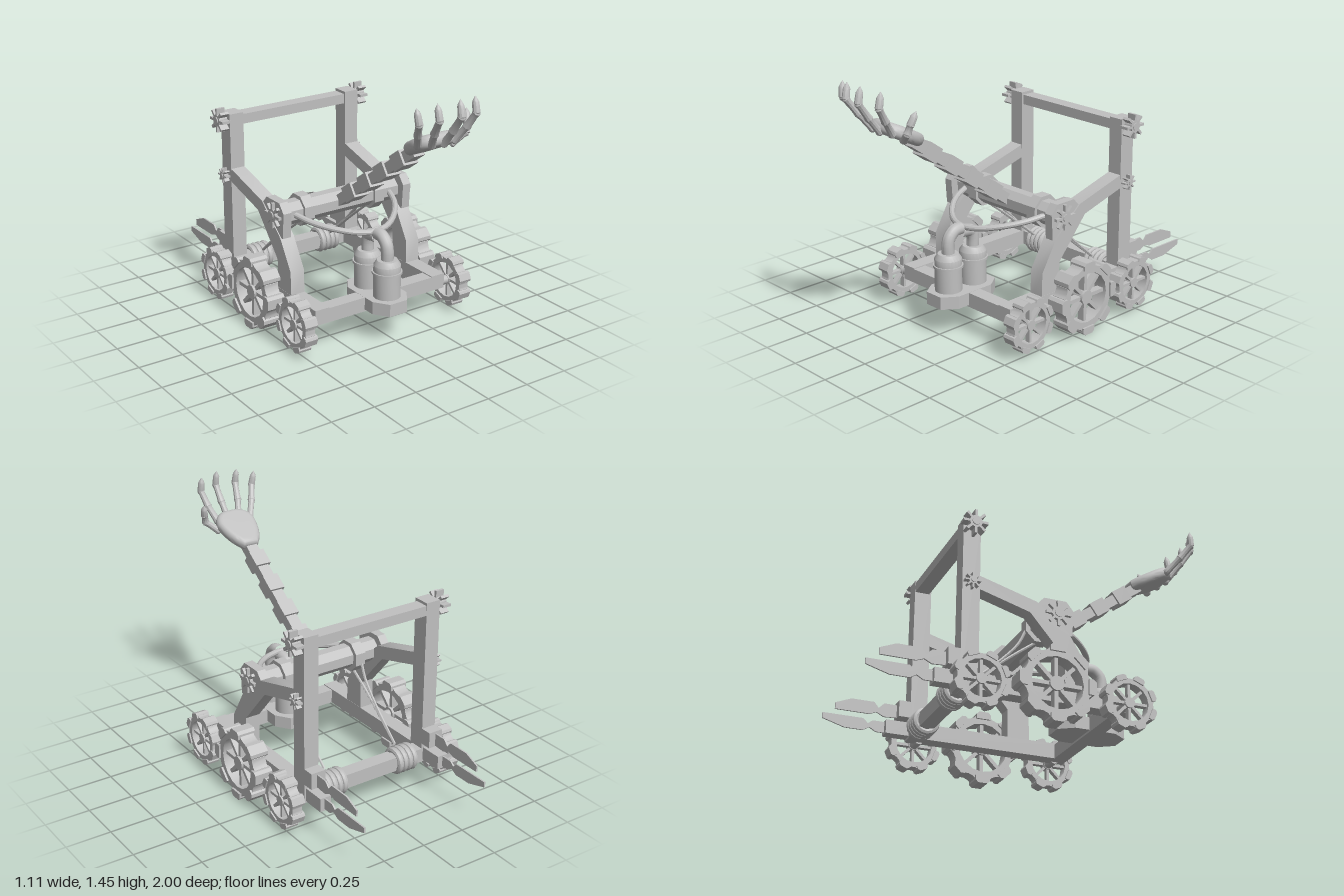
import * as THREE from 'three';
import { toCreasedNormals } from 'three/addons/utils/BufferGeometryUtils.js';

const V = (x, y, z) => new THREE.Vector3(x, y, z);

export function createModel() {
  const root = new THREE.Group();
  root.name = 'catapult';
  const grey = new THREE.MeshStandardMaterial({ color: 0xc0c0c0 });
  grey.name = 'plain grey';

  const add = (name, geo, x = 0, y = 0, z = 0, parent = root) => {
    const m = new THREE.Mesh(toCreasedNormals(geo, 0.6), grey);
    m.name = name;
    m.position.set(x, y, z);
    parent.add(m);
    return m;
  };
  // Box given by its extents on each axis
  const box = (name, x0, x1, y0, y1, z0, z1) =>
    add(name, new THREE.BoxGeometry(x1 - x0, y1 - y0, z1 - z0), (x0 + x1) / 2, (y0 + y1) / 2, (z0 + z1) / 2);
  // Side profile in (z, y), extruded along x and centred on x = 0
  const side = (shape, width) =>
    new THREE.ExtrudeGeometry(shape, { depth: width, bevelEnabled: false, curveSegments: 8 })
      .translate(0, 0, -width / 2).rotateY(-Math.PI / 2);
  const poly = pts => new THREE.Shape(pts.map(p => new THREE.Vector2(p[0], p[1])));
  const cylX = (r, w, n = 16) => new THREE.CylinderGeometry(r, r, w, n).rotateZ(Math.PI / 2);
  const tube = (name, pts, r, n = 10) =>
    add(name, new THREE.TubeGeometry(new THREE.CatmullRomCurve3(pts), 28, r, n));

  // Toothed outline; half-widths of tooth root and tip are fractions of the pitch
  const toothed = (n, rIn, rOut, root, tip, shift = 0) => {
    const pts = [], pitch = Math.PI * 2 / n;
    for (let i = 0; i < n; i++) {
      const a = i * pitch + shift;
      [[-0.5, rIn], [-root, rIn], [-tip, rOut], [tip, rOut], [root, rIn]].forEach(([f, r]) =>
        pts.push([r * Math.cos(a + f * pitch), r * Math.sin(a + f * pitch)]));
    }
    return poly(pts);
  };
  const gear = (name, r, w, x, y, z) => {
    add(name, side(toothed(8, r * 0.5, r, 0.24, 0.14), w), x, y, z);
    add(name + 'Hub', cylX(r * 0.32, w + 0.012, 12), x, y, z);
  };

  // Spoked wheel with a rim and wider tread blocks
  const wheel = (name, r, w, x, y, z, shift) => {
    const g = new THREE.Group();
    g.name = name;
    g.position.set(x, y, z);
    root.add(g);
    const rim = toothed(8, r * 0.86, r * 0.9, 0.4, 0.3, shift);
    rim.holes.push(new THREE.Path().absarc(0, 0, r * 0.68, 0, Math.PI * 2, true));
    add('rim', side(rim, w * 0.78), 0, 0, 0, g);
    for (let i = 0; i < 8; i++) {
      const a = i * Math.PI / 4 + shift;
      const block = side(poly([[r * 0.8, -r * 0.2], [r * 0.93, -r * 0.2], [r, -r * 0.13],
        [r, r * 0.13], [r * 0.93, r * 0.2], [r * 0.8, r * 0.2]]), w);
      add('treadBlock', block, 0, 0, 0, g).rotation.x = -a;
    }
    for (let i = 0; i < 4; i++)
      add('spokes', new THREE.BoxGeometry(w * 0.4, r * 0.1, r * 1.4), 0, 0, 0, g).rotation.x = i * Math.PI / 4;
    add('hub', cylX(r * 0.19, w * 0.65), 0, 0, 0, g);
  };

  // Profiles shared by both sides
  const brace = poly([[0.15, 0.2], [0.145, 0.37], [0.05, 0.53], [-0.13, 0.685], [-0.46, 0.775],
    [-0.46, 0.7], [-0.17, 0.62], [0.02, 0.4], [0.02, 0.2]]);
  const plate = poly([[0.065, 0.53], [0.075, 0.67], [0.035, 0.72], [-0.09, 0.72], [-0.145, 0.66],
    [-0.13, 0.6], [-0.04, 0.53]]);
  const upperBlade = poly([[-0.58, 0.34], [-0.67, 0.34], [-0.7, 0.31], [-0.725, 0.34], [-0.85, 0.34],
    [-0.935, 0.305], [-0.935, 0.27], [-0.75, 0.27], [-0.71, 0.285], [-0.67, 0.265], [-0.58, 0.27]]);
  const lowerBlade = poly([[-0.64, 0.235], [-0.73, 0.235], [-0.755, 0.215], [-0.78, 0.24], [-1, 0.24],
    [-1, 0.21], [-0.88, 0.175], [-0.78, 0.175], [-0.745, 0.195], [-0.71, 0.175], [-0.64, 0.175]]);

  for (const s of [-1, 1]) {
    const span = (a, b) => [Math.min(s * a, s * b), Math.max(s * a, s * b)];
    // Frame
    box('sideRail', ...span(0.335, 0.42), 0.155, 0.24, -0.535, 0.38);
    box('rearPost', ...span(0.335, 0.42), 0.155, 1.08, -0.537, -0.443);
    add('brace', side(brace, 0.083), s * 0.3775);
    add('axlePlate', side(plate, 0.05), s * 0.388);
    // Rear blades and their sockets
    box('upperSocket', ...span(0.335, 0.42), 0.265, 0.355, -0.6, -0.53);
    box('lowerSocket', ...span(0.345, 0.41), 0.165, 0.24, -0.665, -0.53);
    add('upperBlade', side(upperBlade, 0.009), s * 0.38);
    add('lowerBlade', side(lowerBlade, 0.009), s * 0.38);
    // Gears
    gear('topGear', 0.067, 0.05, s * 0.452, 1.045, -0.49);
    gear('midGear', 0.042, 0.03, s * 0.437, 0.725, -0.49);
    gear('axleGear', 0.07, 0.018, s * 0.422, 0.64, -0.015);
    // Wheels on stub axles
    wheel('middleWheel', 0.205, 0.105, s * 0.5, 0.205, -0.075, 0);
    wheel('frontWheel', 0.147, 0.075, s * 0.5, 0.17, 0.325, Math.PI / 8);
    wheel('rearWheel', 0.147, 0.075, s * 0.5, 0.17, -0.465, Math.PI / 8);
    for (const [y, z] of [[0.205, -0.075], [0.17, 0.325], [0.17, -0.465]])
      add('stubAxle', cylX(0.025, 0.1, 12), s * 0.44, y, z);
    // Axle collars, pull ropes and rope coils
    add('axleCollar', cylX(0.09, 0.062, 8).rotateX(Math.PI / 8), s * 0.227, 0.628, -0.04);
    tube('rope', [V(s * 0.222, 0.55, -0.06), V(s * 0.227, 0.46, -0.18), V(s * 0.23, 0.25, -0.44)], 0.008, 6);
    tube('rope', [V(s * 0.237, 0.6, -0.12), V(s * 0.235, 0.52, -0.16), V(s * 0.232, 0.4, -0.27),
      V(s * 0.23, 0.25, -0.44)], 0.008, 6);
    for (let i = 0; i < 4; i++)
      add('ropeCoil', new THREE.TorusGeometry(0.059, 0.017, 8, 16).rotateY(Math.PI / 2),
        s * (0.181 + i * 0.031), 0.195, -0.5);
  }

  // Cross members and main axle
  box('frontCrossbar', -0.34, 0.34, 0.155, 0.235, 0.3, 0.38);
  box('rearCrossbar', -0.34, 0.34, 0.155, 0.235, -0.54, -0.46);
  box('topCrossbar', -0.34, 0.34, 1.01, 1.065, -0.535, -0.455);
  add('mainAxle', cylX(0.068, 0.74, 8).rotateX(Math.PI / 8), 0, 0.628, -0.035);

  // Boiler platform, boilers and arching pipes
  const deck = new THREE.Shape([[-0.11, 0.22], [-0.055, 0.14], [0.055, 0.14], [0.11, 0.22], [0.11, 0.45],
    [0.055, 0.53], [-0.055, 0.53], [-0.11, 0.45]].map(p => new THREE.Vector2(...p)));
  add('boilerDeck', new THREE.ExtrudeGeometry(deck, { depth: 0.07, bevelEnabled: false })
    .rotateX(Math.PI / 2), 0, 0.236, 0);
  const boiler = [[0, 0.23], [0.073, 0.23], [0.073, 0.368], [0.081, 0.368], [0.081, 0.38], [0.073, 0.38],
    [0.073, 0.415], [0.055, 0.442], [0, 0.442]].map(p => new THREE.Vector2(...p));
  for (const [z, top] of [[0.425, 0.56], [0.25, 0.54]]) {
    add('boiler', new THREE.LatheGeometry(boiler, 24), 0, 0, z);
    const d = 0.335 - z;
    tube('boilerPipe', [V(0, 0.43, z), V(0, 0.49, z), V(0, 0.525, z + d * 0.12),
      V(0, top - 0.004, z + d * 0.5), V(0, top, z + d)], 0.034, 14);
  }
  tube('steamHose', [V(-0.31, 0.63, 0.01), V(-0.27, 0.61, 0.12), V(-0.2, 0.59, 0.215), V(-0.1, 0.572, 0.295),
    V(0, 0.567, 0.325), V(0.1, 0.572, 0.295), V(0.2, 0.59, 0.215), V(0.27, 0.61, 0.12), V(0.31, 0.63, 0.01)], 0.016);

  // Throwing arm with blocks strung along it
  const armAngle = -Math.atan2(0.1, 0.14);
  add('armRod', new THREE.BoxGeometry(0.068, 0.058, 0.83), 0, 0.868, 0.325).rotation.x = armAngle;
  for (let i = 0; i < 4; i++)
    add('armBlock', new THREE.BoxGeometry(0.092, 0.084, 0.095), 0, 0.73 + i * 0.1, 0.13 + i * 0.14).rotation.x = armAngle;

  // Palm: rounded slab, wide at the knuckles
  const p = new THREE.Shape();
  p.moveTo(-0.03, 0.03);
  p.lineTo(0.03, 0.03);
  p.quadraticCurveTo(0.075, 0.08, 0.088, 0.18);
  p.quadraticCurveTo(0.085, 0.235, 0.03, 0.245);
  p.lineTo(-0.03, 0.245);
  p.quadraticCurveTo(-0.085, 0.235, -0.088, 0.18);
  p.quadraticCurveTo(-0.075, 0.08, -0.03, 0.03);
  const palmGeo = new THREE.ExtrudeGeometry(p, { depth: 0.008, bevelThickness: 0.03, bevelSize: 0.03,
    bevelSegments: 4, curveSegments: 8 });
  const c = Math.cos(0.47), n = Math.sin(0.47);
  palmGeo.applyMatrix4(new THREE.Matrix4().makeBasis(V(1, 0, 0), V(0, n, c), V(0, -c, n)));
  add('palm', palmGeo, 0, 1.108, 0.612);

  // Fingers: tapered bones between joints, ending in a pointed tip
  const bone = (name, a, b, profile) => {
    const d = b.clone().sub(a), len = d.length();
    const m = add(name, new THREE.LatheGeometry(profile.map(([r, t]) => new THREE.Vector2(r, t * len)), 10), a.x, a.y, a.z);
    m.quaternion.setFromUnitVectors(V(0, 1, 0), d.normalize());
  };
  const shaft = [[0, -0.12], [0.016, -0.1], [0.022, 0], [0.019, 0.2], [0.017, 0.8], [0.021, 1], [0.014, 1.1], [0, 1.12]];
  const claw = [[0, -0.12], [0.014, -0.1], [0.02, 0], [0.018, 0.6], [0.014, 0.72], [0, 1]];
  const fingers = [
    [V(-0.108, 1.19, 0.8), V(-0.16, 1.27, 0.865), V(-0.196, 1.345, 0.92), V(-0.207, 1.425, 0.91)],
    [V(-0.06, 1.195, 0.845), V(-0.092, 1.275, 0.905), V(-0.112, 1.36, 0.965), V(-0.116, 1.442, 0.95)],
    [V(0.005, 1.195, 0.855), V(0.006, 1.275, 0.92), V(0.006, 1.362, 0.982), V(0.006, 1.447, 0.966)],
    [V(0.08, 1.195, 0.84), V(0.107, 1.275, 0.9), V(0.122, 1.355, 0.95), V(0.122, 1.437, 0.935)],
    [V(0.105, 1.16, 0.79), V(0.17, 1.215, 0.82), V(0.183, 1.26, 0.81), V(0.198, 1.327, 0.785)],
  ];
  fingers.forEach((f, i) => {
    const name = i < 4 ? 'finger' : 'thumb';
    bone(name + 'Base', f[0], f[1], shaft);
    bone(name + 'Middle', f[1], f[2], shaft);
    bone(name + 'Tip', f[2], f[3], claw);
  });

  root.position.x = -0.006;
  return root;
}
